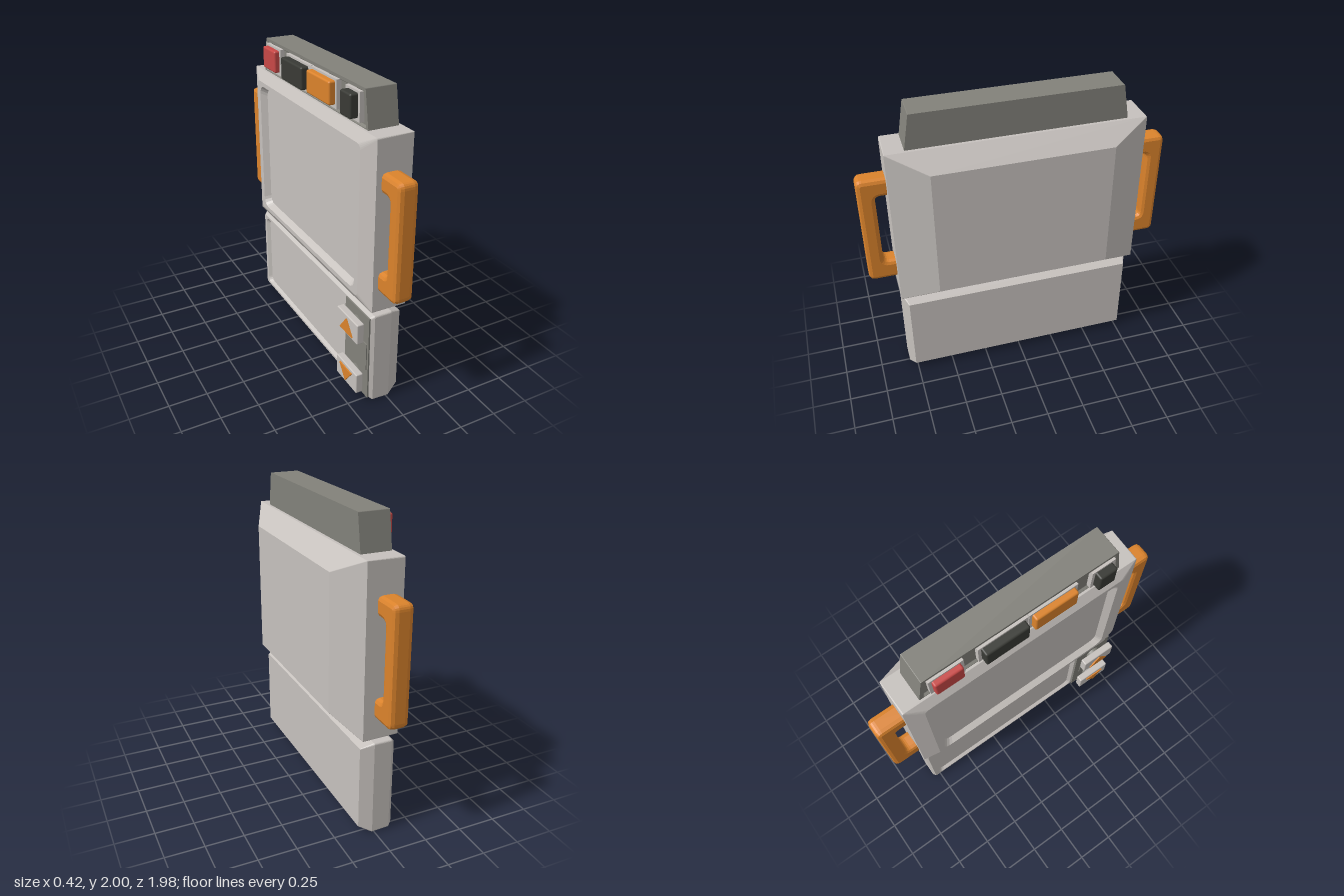
import * as THREE from 'three';
import { RoundedBoxGeometry } from 'three/addons/geometries/RoundedBoxGeometry.js';

const mat = (name, color) => {
  const m = new THREE.MeshStandardMaterial({ color });
  m.name = name;
  return m;
};

// Rounded rectangle in (z, y), counter-clockwise seen from -x; taper narrows the top
function outline(z0, z1, y0, y1, r, taper = 0) {
  const pts = [], seg = 4;
  const corners = [[z1 - r, y0 + r, -90], [z1 - r, y1 - r, 0], [z0 + r, y1 - r, 90], [z0 + r, y0 + r, 180]];
  for (const [cz, cy, start] of corners) {
    for (let i = 0; i <= seg; i++) {
      const a = THREE.MathUtils.degToRad(start + 90 * i / seg);
      const z = cz + r * Math.cos(a), y = cy + r * Math.sin(a);
      pts.push([z - Math.sign(z) * taper * (y - y0) / (y1 - y0), y]);
    }
  }
  return pts;
}

// Closed shell through sections [x, z0, z1, y0, y1, radius, taper], running from +x to -x
function loft(sections) {
  const rings = sections.map(([x, ...o]) => outline(...o).map(([z, y]) => [x, y, z]));
  const pos = [], n = rings[0].length;
  const tri = (a, b, c) => pos.push(...a, ...b, ...c);
  for (let i = 0; i < rings.length - 1; i++) {
    for (let j = 0; j < n; j++) {
      const k = (j + 1) % n, p = rings[i], q = rings[i + 1];
      tri(p[j], p[k], q[k]);
      tri(p[j], q[k], q[j]);
    }
  }
  const first = rings[0], last = rings[rings.length - 1];
  for (let j = 1; j < n - 1; j++) {
    tri(first[0], first[j + 1], first[j]);
    tri(last[0], last[j], last[j + 1]);
  }
  const g = new THREE.BufferGeometry();
  g.setAttribute('position', new THREE.Float32BufferAttribute(pos, 3));
  g.computeVertexNormals();
  return g;
}

// C-shaped grip drawn in (z, y), bevelled on both faces
function handleGeometry() {
  const s = new THREE.Shape();
  s.moveTo(0.76, 0.82);
  s.lineTo(0.95, 0.82);
  s.quadraticCurveTo(0.99, 0.82, 0.99, 0.86);
  s.lineTo(0.99, 1.53);
  s.quadraticCurveTo(0.99, 1.57, 0.95, 1.57);
  s.lineTo(0.76, 1.57);
  s.lineTo(0.76, 1.45);
  s.lineTo(0.85, 1.45);
  s.quadraticCurveTo(0.885, 1.45, 0.885, 1.415);
  s.lineTo(0.885, 0.985);
  s.quadraticCurveTo(0.885, 0.95, 0.85, 0.95);
  s.lineTo(0.76, 0.95);
  const g = new THREE.ExtrudeGeometry(s, {
    depth: 0.066, bevelEnabled: true, bevelThickness: 0.03, bevelSize: 0.025,
    bevelOffset: -0.025, bevelSegments: 2, curveSegments: 5
  });
  g.translate(0, 0, -0.033);
  g.rotateY(-Math.PI / 2);
  g.translate(-0.033, 0, 0);
  return g;
}

export function createModel() {
  const shell = mat('light grey shell', 0xc6c1bd);
  const dark = mat('dark grey trim', 0x82817a);
  const orange = mat('orange', 0xdb832c);
  const black = mat('black button', 0x393a35);
  const red = mat('red button', 0xc84846);

  const root = new THREE.Group();
  root.name = 'handheldPanel';
  const add = (name, geometry, material, parent = root) => {
    const m = new THREE.Mesh(geometry, material);
    m.name = name;
    parent.add(m);
    return m;
  };
  // Block given by its extents
  const block = (name, x0, x1, y0, y1, z0, z1, material, parent, r = 0) => {
    const g = r ? new RoundedBoxGeometry(x1 - x0, y1 - y0, z1 - z0, 2, r)
      : new THREE.BoxGeometry(x1 - x0, y1 - y0, z1 - z0);
    g.translate((x0 + x1) / 2, (y0 + y1) / 2, (z0 + z1) / 2);
    return add(name, g, material, parent);
  };

  // Upper housing with its recessed screen
  add('upperHousing', loft([
    [0.21, -0.57, 0.57, 0.78, 1.66, 0.004],
    [0.10, -0.81, 0.81, 0.68, 1.775, 0.004],
    [-0.13, -0.81, 0.81, 0.68, 1.775, 0.01],
    [-0.17, -0.70, 0.70, 0.745, 1.71, 0.03],
    [-0.17, -0.66, 0.66, 0.775, 1.68, 0.06],
    [-0.13, -0.63, 0.63, 0.80, 1.655, 0.05]
  ]), shell);

  // Lower housing with a screen recess set toward one end
  add('lowerHousing', loft([
    [0.095, -0.765, 0.765, 0.05, 0.605, 0.004],
    [0.015, -0.80, 0.80, 0.005, 0.642, 0.012],
    [-0.10, -0.80, 0.80, 0.01, 0.642, 0.012],
    [-0.122, -0.785, 0.785, 0.03, 0.625, 0.012],
    [-0.122, -0.755, 0.49, 0.045, 0.61, 0.04],
    [-0.10, -0.735, 0.47, 0.06, 0.595, 0.035]
  ]), shell);

  block('connector', -0.10, 0, 0.60, 0.72, -0.71, 0.71, dark);

  // Tapered button bar on top
  add('topBar', loft([
    [0.08, -0.695, 0.695, 1.74, 2, 0.004, 0.045],
    [-0.115, -0.695, 0.695, 1.74, 2, 0.004, 0.045],
    [-0.115, -0.665, 0.665, 1.78, 1.98, 0.01, 0.035],
    [-0.10, -0.655, 0.655, 1.79, 1.97, 0.01, 0.035]
  ]), dark);

  // Bar buttons, each on a light bezel
  const barButtons = [
    ['redButton', -0.60, -0.415, -0.165, red],
    ['wideBlackButton', -0.285, 0.005, -0.18, black],
    ['orangeButton', 0.05, 0.34, -0.17, orange],
    ['smallBlackButton', 0.48, 0.60, -0.18, black]
  ];
  for (const [name, z0, z1, x, material] of barButtons) {
    block(name + 'Bezel', -0.13, -0.09, 1.80, 1.975, z0 - 0.02, z1 + 0.02, shell);
    block(name, x, -0.11, 1.82, 1.962, z0, z1, material, root, 0.012);
  }

  // Side handles, mirrored front to back
  const grip = handleGeometry();
  add('frontHandle', grip, orange);
  add('backHandle', grip.clone().rotateY(Math.PI).translate(-0.066, 0, 0), orange);

  // Arrow key panel
  block('keyPanel', -0.132, -0.09, 0.03, 0.622, 0.50, 0.785, dark);
  block('keyPanelInsert', -0.138, -0.12, 0.24, 0.43, 0.55, 0.77, dark);
  for (const [name, y, dir] of [['upKey', 0.52, 1], ['downKey', 0.15, -1]]) {
    const key = new THREE.Group();
    key.name = name;
    root.add(key);
    const stem = new THREE.CylinderGeometry(0.05, 0.05, 0.06, 20);
    stem.rotateZ(Math.PI / 2).translate(-0.145, y, 0.645);
    add(name + 'Stem', stem, dark, key);
    block(name + 'Cap', -0.205, -0.155, y - 0.07, y + 0.07, 0.52, 0.77, shell, key, 0.008);
    const s = new THREE.Shape([
      new THREE.Vector2(-0.075, -0.048 * dir),
      new THREE.Vector2(0.075, -0.048 * dir),
      new THREE.Vector2(0, 0.05 * dir)
    ]);
    const arrow = new THREE.ExtrudeGeometry(s, { depth: 0.009, bevelEnabled: false });
    arrow.rotateY(-Math.PI / 2).translate(-0.205, y, 0.645);
    add(name + 'Arrow', arrow, orange, key);
  }
  return root;
}
